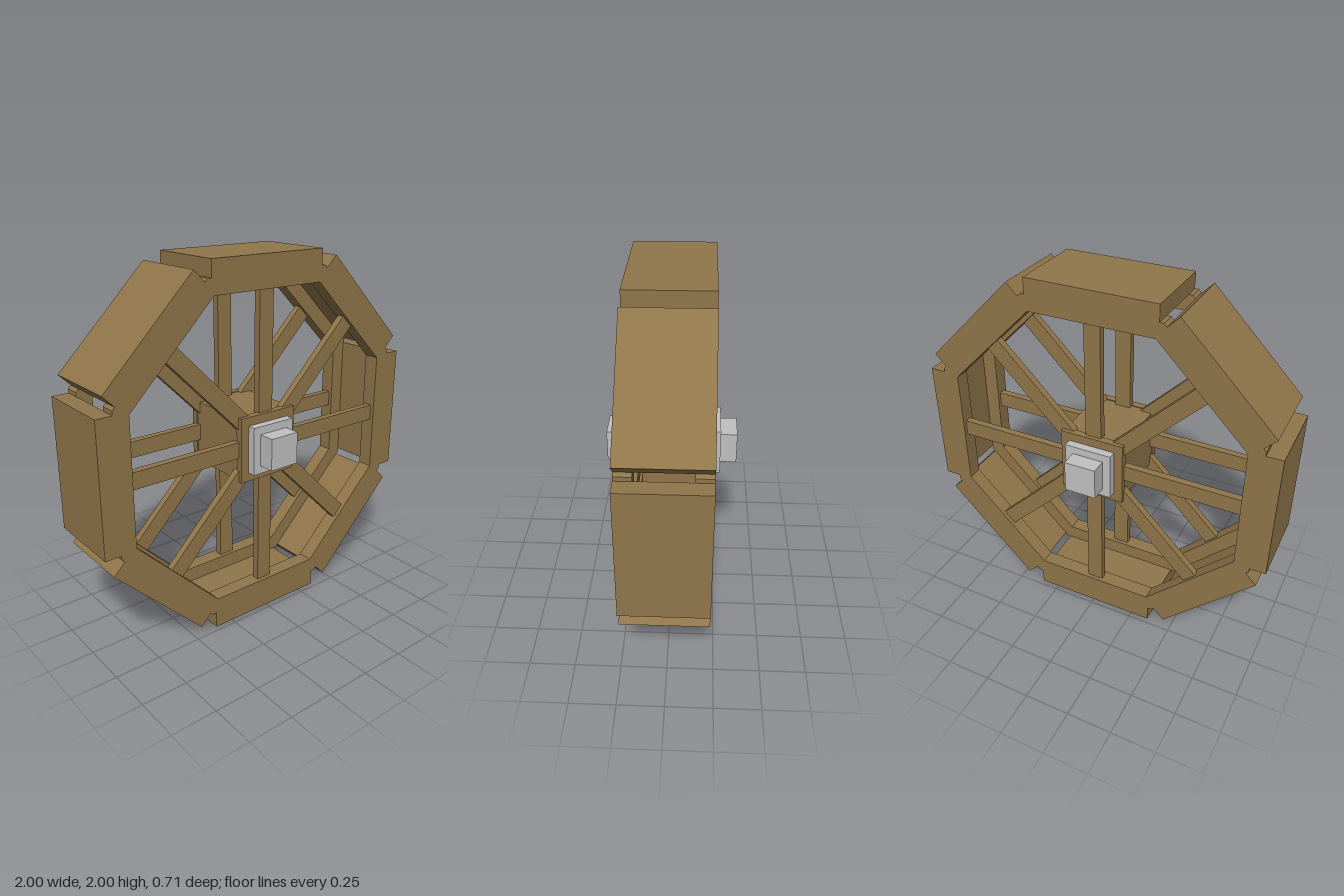
import * as THREE from 'three';

const SIDES = 8;
const STEP = (Math.PI * 2) / SIDES;
const HALF_WIDTH = 0.22;

export function createModel() {
  const wood = new THREE.MeshStandardMaterial({ color: 0x90764a });
  wood.name = 'wood';
  const metal = new THREE.MeshStandardMaterial({ color: 0xc0c0c0 });
  metal.name = 'greyMetal';

  const wheel = new THREE.Group();
  wheel.name = 'wheel';
  wheel.position.y = 1;

  const add = (name, geometry, material, x = 0, y = 0, z = 0, parent = wheel) => {
    const mesh = new THREE.Mesh(geometry, material);
    mesh.name = name;
    mesh.position.set(x, y, z);
    parent.add(mesh);
    return mesh;
  };

  // Octagon with flat sides at the given distance from the centre
  const octagon = (apothem) => {
    const r = apothem / Math.cos(STEP / 2);
    return Array.from({ length: SIDES }, (_, i) => {
      const a = (i + 0.5) * STEP;
      return new THREE.Vector2(r * Math.cos(a), r * Math.sin(a));
    });
  };

  // Side rings
  const ringDepth = 0.085;
  const ringShape = new THREE.Shape(octagon(0.912));
  ringShape.holes.push(new THREE.Path(octagon(0.827)));
  const ringGeo = new THREE.ExtrudeGeometry(ringShape, { depth: ringDepth, bevelEnabled: false });
  add('frontRing', ringGeo, wood, 0, 0, HALF_WIDTH - ringDepth);
  add('backRing', ringGeo, wood, 0, 0, -HALF_WIDTH);

  // Tread boards and paired spokes, repeated around the hub
  const treadGeo = new THREE.BoxGeometry(0.712, 0.09, HALF_WIDTH * 2);
  const spokeGeo = new THREE.BoxGeometry(0.09, 0.72, 0.04);
  for (let i = 0; i < SIDES; i++) {
    const sector = new THREE.Group();
    sector.name = 'wheelSector';
    sector.rotation.z = i * STEP;
    add('treadBoard', treadGeo, wood, 0, 0.955, 0, sector);
    for (const side of [1, -1]) add('spoke', spokeGeo, wood, 0, 0.49, side * 0.177, sector);
    wheel.add(sector);
  }

  // Hub block with end plates, washers and axle ends
  add('hubBlock', new THREE.BoxGeometry(0.35, 0.35, 0.38), wood);
  const plateGeo = new THREE.BoxGeometry(0.36, 0.36, 0.04);
  const washerGeo = new THREE.BoxGeometry(0.264, 0.264, 0.045);
  const axleGeo = new THREE.BoxGeometry(0.176, 0.176, 0.09);
  for (const side of [1, -1]) {
    add('hubPlate', plateGeo, wood, 0, 0, side * 0.2);
    add('washerPlate', washerGeo, metal, 0, 0, side * 0.2425);
    add('axleEnd', axleGeo, metal, 0, 0, side * 0.31);
  }

  const model = new THREE.Group();
  model.name = 'woodenWheel';
  model.add(wheel);
  return model;
}
